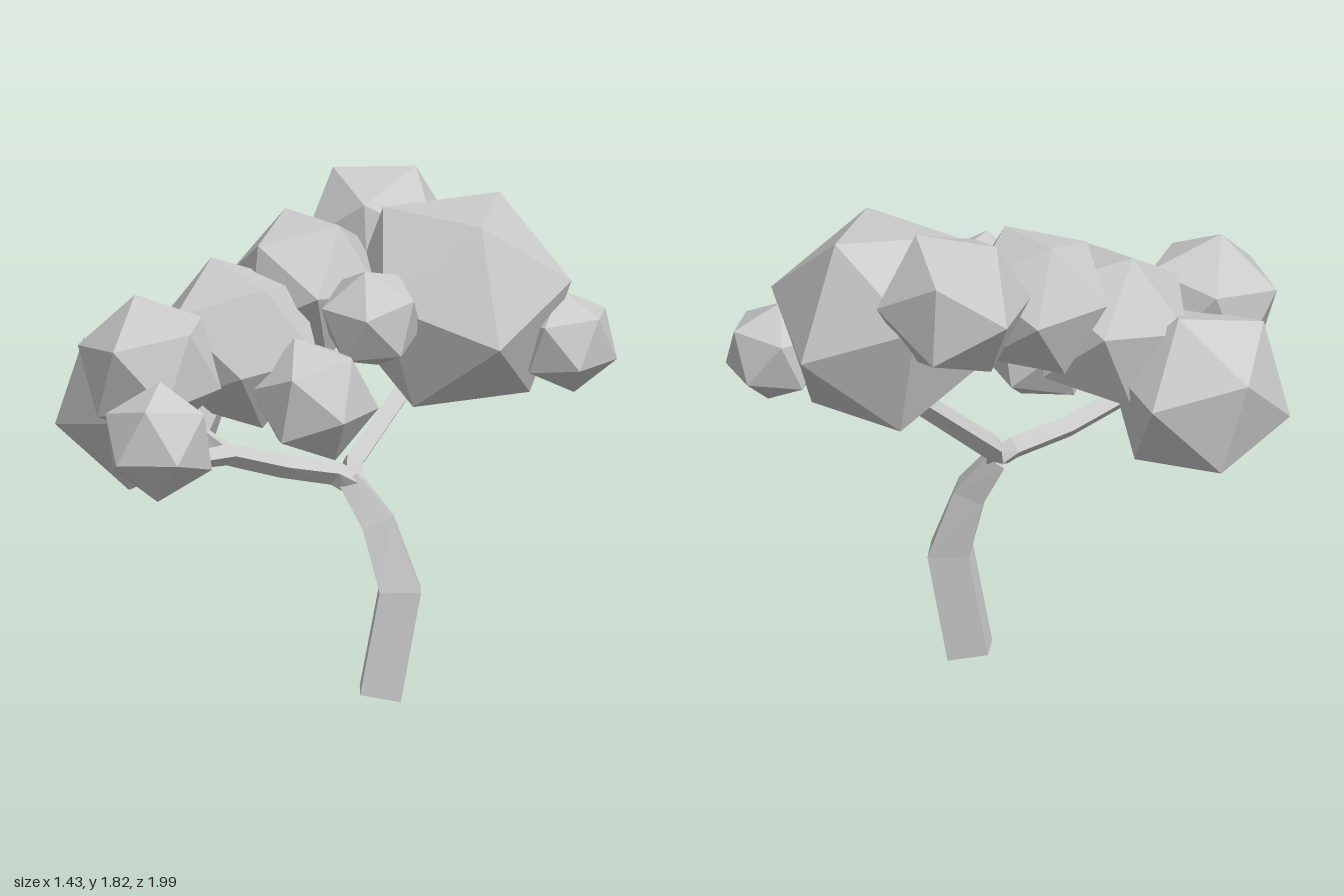
import * as THREE from 'three';

const V = (p) => new THREE.Vector3(...p);
const material = new THREE.MeshStandardMaterial({ color: 0xcccccc, flatShading: true });

// Orthonormal basis whose first axis is a, with b in the plane of the first two
function basis(a, b) {
  const x = a.clone().normalize();
  const z = a.clone().cross(b).normalize();
  return new THREE.Matrix4().makeBasis(x, z.clone().cross(x), z);
}

// Icosahedral leaf clump with one corner towards a and a neighbouring corner towards b
function clump(center, radius, a, b) {
  const t = (1 + Math.sqrt(5)) / 2;
  const from = basis(V([-1, t, 0]), V([1, t, 0])).transpose();
  const geometry = new THREE.IcosahedronGeometry(radius, 0);
  geometry.applyMatrix4(basis(V(a), V(b)).multiply(from));
  const mesh = new THREE.Mesh(geometry, material);
  mesh.position.set(...center);
  return mesh;
}

// Four-sided tapering limb through points [x, y, z, radius]
function limb(points) {
  const pts = points.map((p) => V(p.slice(0, 3)));
  const last = pts.length - 1;
  const position = [];
  const index = [];
  pts.forEach((p, i) => {
    const t = pts[Math.min(i + 1, last)].clone().sub(pts[Math.max(i - 1, 0)]).normalize();
    const u = V([1, 0, 0]).addScaledVector(t, -t.x).normalize();
    const v = t.clone().cross(u);
    for (let j = 0; j < 4; j++) {
      const angle = (j * Math.PI) / 2;
      const q = p.clone()
        .addScaledVector(u, Math.cos(angle) * points[i][3])
        .addScaledVector(v, Math.sin(angle) * points[i][3]);
      position.push(q.x, q.y, q.z);
      if (i < last) {
        const a = i * 4 + j;
        const b = i * 4 + ((j + 1) % 4);
        index.push(a, b, b + 4, a, b + 4, a + 4);
      }
    }
  });
  const e = last * 4;
  index.push(0, 2, 1, 0, 3, 2, e, e + 1, e + 2, e, e + 2, e + 3);
  const indexed = new THREE.BufferGeometry();
  indexed.setAttribute('position', new THREE.Float32BufferAttribute(position, 3));
  indexed.setIndex(index);
  const geometry = indexed.toNonIndexed();
  geometry.computeVertexNormals();
  return new THREE.Mesh(geometry, material);
}

export function createModel() {
  const tree = new THREE.Group();
  tree.name = 'tree';

  // Crooked trunk and its branches
  const limbs = {
    trunk: [[0.28, 0.015, -0.145, 0.105], [0.325, 0.4, -0.2, 0.105], [0.245, 0.64, -0.17, 0.08], [0.14, 0.79, -0.13, 0.055]],
    frontBranch: [[0.16, 0.77, -0.14, 0.045], [0.12, 0.82, -0.07, 0.045], [0.06, 0.87, 0.13, 0.043], [0.02, 0.95, 0.37, 0.04], [0.06, 0.98, 0.66, 0.03]],
    backBranch: [[0.16, 0.77, -0.13, 0.045], [0.12, 0.84, -0.17, 0.045], [0.08, 1.14, -0.58, 0.04]],
    leftTwig: [[0.02, 0.94, 0.35, 0.035], [-0.06, 1.02, 0.42, 0.03], [-0.13, 1.1, 0.45, 0.025]],
  };
  for (const [name, points] of Object.entries(limbs)) {
    const mesh = limb(points);
    mesh.name = name;
    tree.add(mesh);
  }

  // Leaf clumps: centre, radius, corner direction, neighbouring corner direction
  const foliage = new THREE.Group();
  foliage.name = 'foliage';
  const clumps = [
    [[0.245, 1.39, -0.573], 0.427, [0.24, 0.33, 0.12], [-0.03, 0.34, -0.25]],
    [[0.55, 1.245, -0.83], 0.19, [0.158, 0.105, 0], [0.13, -0.06, -0.1]],
    [[-0.15, 1.565, -0.575], 0.287, [0.11, 0.26, -0.09], [-0.15, 0.22, 0.09]],
    [[-0.1, 1.465, -0.155], 0.287, [0.17, 0.26, -0.01], [-0.15, 0.23, -0.04]],
    [[0.27, 1.41, -0.11], 0.195, [0.16, 0.08, -0.04], [-0.02, 0.18, 0.07]],
    [[0.225, 1.148, 0.135], 0.232, [0.08, -0.223, -0.025], [0.205, -0.018, 0.075]],
    [[-0.14, 1.29, 0.61], 0.27, [0.05, 0.1, 0.23], [-0.05, 0.26, 0.01]],
    [[-0.13, 1.3, 0.17], 0.32, [-0.13, 0.3, 0], [0.19, 0.22, 0.06]],
    [[-0.4, 1.085, 0.36], 0.34, [-0.04, 0.315, -0.13], [-0.32, 0.1, -0.03]],
    [[0.08, 1.085, 0.79], 0.216, [-0.01, -0.055, 0.21], [0.04, -0.205, 0.05]],
  ];
  clumps.forEach((c, i) => {
    const mesh = clump(...c);
    mesh.name = `leafClump${i + 1}`;
    foliage.add(mesh);
  });
  tree.add(foliage);
  return tree;
}
